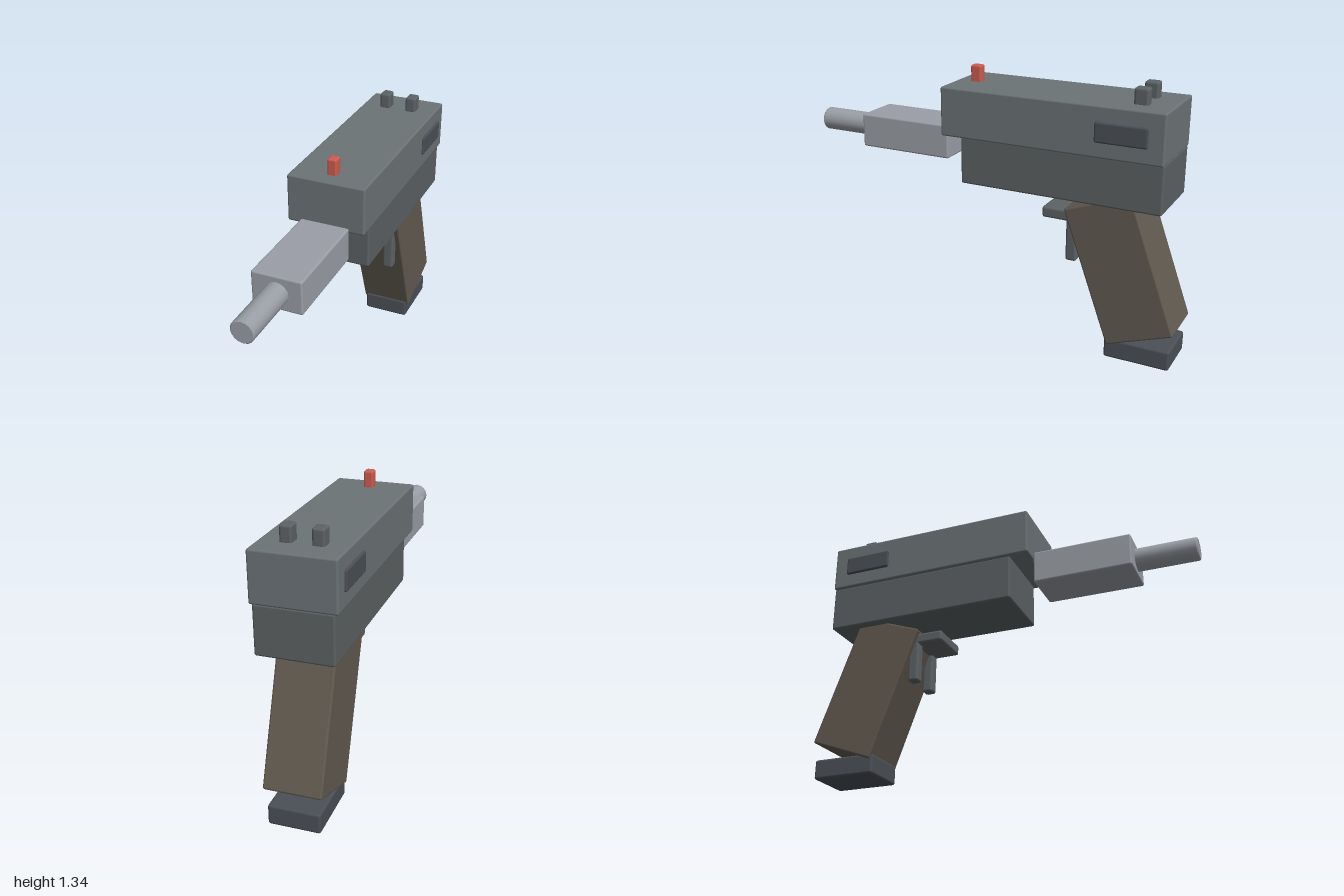
import * as THREE from 'three';
import { RoundedBoxGeometry } from 'three/addons/geometries/RoundedBoxGeometry.js';

const material = (color) => new THREE.MeshStandardMaterial({ color });

export function createModel() {
  const model = new THREE.Group();
  model.name = 'toyBlaster';

  const slideGrey = material(0x6b7376);
  const frameGrey = material(0x5c6163);
  const barrelGrey = material(0x9a9ea6);
  const darkGrey = material(0x4b4f56);
  const trimGrey = material(0x5d6265);
  const gripBrown = material(0x625a50);
  const sightRed = material(0xcc5c50);

  // Softly bevelled block given by its extents on each axis
  function block(name, mat, [x0, x1], [y0, y1], [z0, z1], bevel = 0.01) {
    const geometry = new RoundedBoxGeometry(x1 - x0, y1 - y0, z1 - z0, 2, bevel);
    const mesh = new THREE.Mesh(geometry, mat);
    mesh.name = name;
    mesh.position.set((x0 + x1) / 2, (y0 + y1) / 2, (z0 + z1) / 2);
    model.add(mesh);
    return mesh;
  }

  // Body
  block('slide', slideGrey, [-0.195, 0.195], [1.02, 1.26], [-0.915, 0.19]);
  block('frame', frameGrey, [-0.18, 0.18], [0.79, 1.025], [-0.915, 0.09]);

  // Barrel
  block('barrelHousing', barrelGrey, [-0.123, 0.123], [0.88, 1.05], [0.195, 0.695]);
  const muzzle = new THREE.Mesh(
    new THREE.LatheGeometry(
      [[0, 0], [0.058, 0], [0.058, 0], [0.058, 0.31], [0.058, 0.31], [0.052, 0.316], [0.052, 0.316], [0, 0.316]]
        .map(([r, h]) => new THREE.Vector2(r, h)), 16),
    barrelGrey);
  muzzle.name = 'muzzle';
  muzzle.rotation.x = Math.PI / 2;
  muzzle.position.set(0, 0.964, 0.684);
  model.add(muzzle);

  // Raked grip and magazine base
  const grip = block('grip', gripBrown, [-0.137, 0.137], [0.11, 0.81], [-0.886, -0.54]);
  grip.rotation.x = THREE.MathUtils.degToRad(20);
  block('magazineBase', darkGrey, [-0.124, 0.124], [0, 0.1], [-0.98, -0.655], 0.012);

  // Trigger bar
  block('triggerBar', trimGrey, [-0.11, 0.11], [0.66, 0.715], [-0.6, -0.31], 0.012);

  // Front sight
  block('frontSight', sightRed, [-0.024, 0.024], [1.25, 1.34], [0.063, 0.118], 0.01);

  // Mirrored pairs
  for (const side of [-1, 1]) {
    const label = side > 0 ? 'left' : 'right';
    const span = (a, b) => (side > 0 ? [a, b] : [-b, -a]);
    block(label + 'TriggerLeg', trimGrey, span(0.054, 0.11), [0.46, 0.68], [-0.49, -0.435], 0.012);
    block(label + 'RearSight', trimGrey, span(0.043, 0.099), [1.25, 1.335], [-0.8, -0.732], 0.012);
    block(label + 'SidePanel', darkGrey, span(0.165, 0.206), [1.093, 1.19], [-0.84, -0.592], 0.01);
  }

  return model;
}
